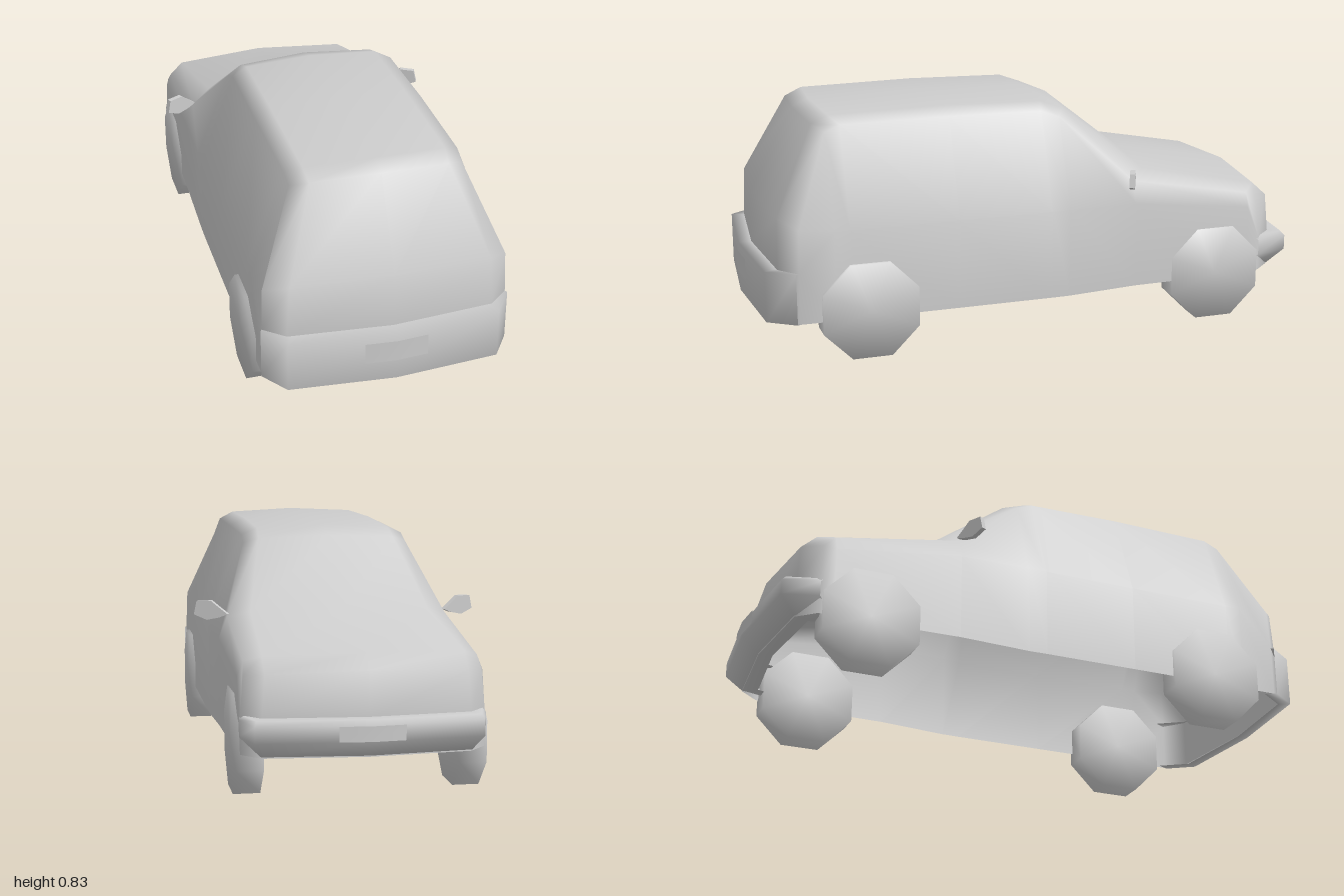
import * as THREE from 'three';
import { mergeGeometries, mergeVertices } from 'three/addons/utils/BufferGeometryUtils.js';

const paint = new THREE.MeshStandardMaterial({ color: 0xcccccc, side: THREE.DoubleSide });
paint.name = 'light grey';

// Surface through rows of [x, y, z] points
function grid(rows) {
  const cols = rows[0].length, index = [];
  for (let i = 0; i < rows.length - 1; i++) {
    for (let j = 0; j < cols - 1; j++) {
      const a = i * cols + j, d = a + cols;
      index.push(a, a + 1, d + 1, a, d + 1, d);
    }
  }
  const g = new THREE.BufferGeometry();
  g.setAttribute('position', new THREE.Float32BufferAttribute(rows.flat(2), 3));
  g.setIndex(index);
  return g;
}

// Weld equal points so the shading runs smoothly across them
function smooth(g) {
  g.deleteAttribute('normal');
  g.deleteAttribute('uv');
  g = mergeVertices(g, 1e-4);
  g.computeVertexNormals();
  return g;
}

// Complete a row given from the centre line outward to +x
const mirrorRow = (half) => [...half.slice(1).reverse().map(([x, y, z]) => [-x, y, z]), ...half];

function mesh(name, geometry) {
  const m = new THREE.Mesh(geometry, paint);
  m.name = name;
  return m;
}

function bodyGeometry() {
  // Stations from rear sill over the roof to the nose: centre, inner and edge points
  const stations = [
    [[0, 0.14, 0.95], [0.35, 0.14, 0.92], [0.42, 0.14, 0.86]],
    [[0, 0.32, 0.95], [0.35, 0.32, 0.92], [0.42, 0.32, 0.86]],
    [[0, 0.505, 0.945], [0.34, 0.495, 0.915], [0.415, 0.465, 0.855]],
    [[0, 0.795, 0.79], [0.235, 0.785, 0.77], [0.292, 0.765, 0.735]],
    [[0, 0.822, 0.73], [0.24, 0.812, 0.71], [0.295, 0.787, 0.68]],
    [[0, 0.828, 0.3], [0.24, 0.818, 0.3], [0.298, 0.79, 0.3]],
    [[0, 0.82, -0.06], [0.24, 0.81, -0.05], [0.295, 0.785, -0.035]],
    [[0, 0.79, -0.15], [0.245, 0.78, -0.13], [0.297, 0.76, -0.1]],
    [[0, 0.56, -0.44], [0.31, 0.555, -0.41], [0.385, 0.53, -0.35]],
    [[0, 0.48, -0.87], [0.33, 0.47, -0.84], [0.385, 0.45, -0.79]],
    [[0, 0.43, -0.925], [0.33, 0.42, -0.895], [0.39, 0.41, -0.83]],
    [[0, 0.28, -0.935], [0.34, 0.28, -0.905], [0.4, 0.28, -0.84]],
    [[0, 0.155, -0.935], [0.34, 0.155, -0.905], [0.4, 0.155, -0.84]],
  ];
  // Middle stations run on down the sides by a belt and a sill point
  const middle = stations.slice(2, 11).map((s, i) => {
    if (i === 0) return [...s, stations[1][2], stations[0][2]];
    if (i === 8) return [...s, stations[11][2], stations[12][2]];
    const z = s[2][2];
    const w = z > 0 ? 0.422 : 0.422 + z * 0.022;
    const belt = Math.min(0.455, s[2][1] - 0.05);
    return [...s, [w, belt, z], [w, z > -0.2 ? 0.14 : 0.15, z]];
  });
  const parts = [stations.slice(0, 3), middle, stations.slice(10)];
  return smooth(mergeGeometries(parts.map((p) => grid(p.map(mirrorRow)))));
}

// Bumper: a side profile of [y, outward offset] swept along a half outline of [x, z]
function bumper(name, outline, profile, dir) {
  const rows = profile.map(([y, off]) =>
    mirrorRow(outline.map(([x, z]) => [x - (x > 0.2 ? off * 0.5 : 0), y, dir * (z - off)])));
  if (dir < 0) rows.reverse();
  return mesh(name, smooth(grid(rows)));
}

// Thin plate in two halves that follow the bumper's shallow centre fold
function numberPlate(name, y0, y1, z, dir) {
  const rows = [y0, y1].map((y) => mirrorRow([[0, y, dir * z], [0.107, y, dir * (z - 0.009)]]));
  if (dir < 0) rows.reverse();
  return mesh(name, smooth(grid(rows)));
}

export function createModel() {
  const car = new THREE.Group();
  car.name = 'car';
  car.add(mesh('body', bodyGeometry()));

  // Bumpers and blank plates
  car.add(bumper('rearBumper', [[0, 0.995], [0.36, 0.965], [0.425, 0.87]],
    [[0.14, 0.04], [0.14, 0], [0.318, 0], [0.318, 0.05]], 1));
  car.add(bumper('frontBumper', [[0, 0.995], [0.37, 0.962], [0.405, 0.84]],
    [[0.16, 0.11], [0.16, 0.055], [0.215, 0], [0.268, 0], [0.284, 0.015], [0.284, 0.07]], -1));
  car.add(numberPlate('rearPlate', 0.213, 0.288, 1, 1));
  car.add(numberPlate('frontPlate', 0.217, 0.267, 1, -1));

  // Octagonal wheels, softly shaded
  const wheel = new THREE.CylinderGeometry(0.181, 0.181, 0.09, 8);
  wheel.rotateY(Math.PI / 8).rotateZ(Math.PI / 2);
  const wheelGeometry = smooth(wheel);

  // Door mirror head, tapering toward the door
  const outline = [[0, 0.54], [0.03, 0.528], [0.075, 0.518], [0.122, 0.536],
    [0.112, 0.582], [0.06, 0.585], [0.03, 0.562]].map(([x, y]) => new THREE.Vector2(x, y));
  const mirrorGeometry = new THREE.ExtrudeGeometry(new THREE.Shape(outline),
    { depth: 0.018, bevelEnabled: false });
  mirrorGeometry.translate(0, 0, -0.009).rotateY(-0.42);

  for (const side of [1, -1]) {
    const label = side > 0 ? 'Left' : 'Right';
    const rear = mesh('rearWheel' + label, wheelGeometry);
    rear.position.set(side * 0.39, 0.1675, 0.617);
    const front = mesh('frontWheel' + label, wheelGeometry);
    front.position.set(side * 0.368, 0.1675, -0.662);
    const mirror = mesh('doorMirror' + label, mirrorGeometry);
    mirror.position.set(side * 0.38, 0, -0.35);
    mirror.scale.x = side;
    car.add(rear, front, mirror);
  }
  return car;
}
